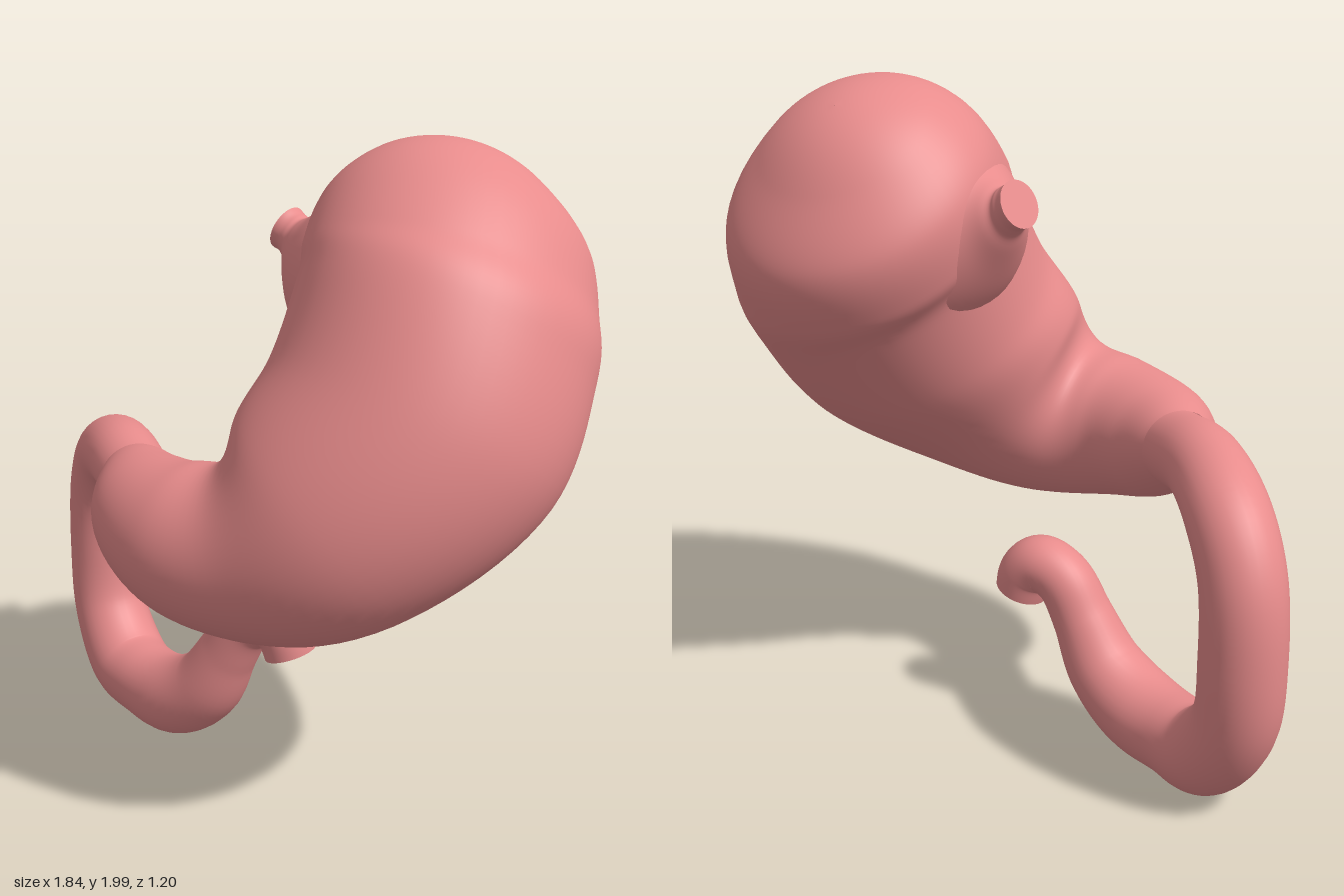
import * as THREE from 'three';

const material = new THREE.MeshStandardMaterial({ color: 0xe88c8c, side: THREE.DoubleSide });

const curve = points => new THREE.CatmullRomCurve3(points.map(p => new THREE.Vector3(...p)), false, 'catmullrom', 0.5);

// Smooth sweep through stations [x, y, z, radius across, radius along ref].
// Squared radii are interpolated so that a zero radius closes as a round dome.
// facing: optional direction of each station's ring; otherwise rings follow the path.
function sweep(name, stations, ref, rings, sides, { ease = 1, cap = false, facing } = {}) {
  const path = curve(stations.map(s => s.slice(0, 3)));
  const radii = curve(stations.map(s => [s[3] ** 2, (s[4] ?? s[3]) ** 2, 0]));
  const directions = facing && curve(facing);
  const positions = [], index = [];
  for (let i = 0; i <= rings; i++) {
    const u = (i / rings) ** ease;
    const c = path.getPoint(u), r = radii.getPoint(u);
    const t = directions ? directions.getPoint(u).normalize() : path.getTangent(u);
    const b = ref.clone().addScaledVector(t, -ref.dot(t)).normalize();
    const a = b.clone().cross(t);
    const ra = Math.sqrt(Math.max(r.x, 1e-6)), rb = Math.sqrt(Math.max(r.y, 1e-6));
    for (let j = 0; j < sides; j++) {
      const angle = j / sides * Math.PI * 2;
      const p = c.clone().addScaledVector(a, ra * Math.cos(angle)).addScaledVector(b, rb * Math.sin(angle));
      positions.push(p.x, p.y, p.z);
      if (i < rings) {
        const k = i * sides + j, l = i * sides + (j + 1) % sides;
        index.push(k, l, k + sides, l, l + sides, k + sides);
      }
    }
  }
  // Flat end with its own vertices, keeping a sharp rim
  if (cap) {
    const rim = positions.slice(-sides * 3), start = positions.length / 3;
    const end = path.getPoint(1);
    positions.push(...rim, end.x, end.y, end.z);
    for (let j = 0; j < sides; j++) index.push(start + sides, start + j, start + (j + 1) % sides);
  }
  const geometry = new THREE.BufferGeometry();
  geometry.setAttribute('position', new THREE.Float32BufferAttribute(positions, 3));
  geometry.setIndex(index);
  geometry.computeVertexNormals();
  const mesh = new THREE.Mesh(geometry, material);
  mesh.name = name;
  return mesh;
}

export function createModel() {
  const group = new THREE.Group();
  group.name = 'stomachAndDuodenum';
  const bodyNormal = new THREE.Vector3(0, 0.56, 0.83);
  const down = [0, -0.83, 0.56];

  // Stomach: domed fundus, wide body, curving forward and narrowing to the pylorus
  group.add(sweep('stomach', [
    [0.40, 1.93, -0.38, 0],
    [0.405, 1.847, -0.324, 0.265, 0.26],
    [0.42, 1.711, -0.275, 0.39, 0.395],
    [0.445, 1.581, -0.181, 0.425, 0.445],
    [0.48, 1.468, -0.08, 0.435, 0.455],
    [0.45, 1.213, 0.10, 0.44, 0.42],
    [0.275, 1.01, 0.275, 0.37, 0.34],
    [0.075, 0.895, 0.335, 0.268, 0.26],
    [-0.13, 0.89, 0.33, 0.225, 0.215],
    [-0.31, 0.908, 0.235, 0.18, 0.178],
    [-0.43, 0.945, 0.11, 0.112, 0.112],
  ], bodyNormal, 110, 60, {
    ease: 1.4,
    facing: [
      down, down, down, down,
      [-0.09, -0.83, 0.56], [-0.24, -0.81, 0.54], [-0.63, -0.645, 0.435], [-0.94, -0.28, 0.19],
      [-0.98, 0, -0.2], [-0.82, 0.05, -0.55], [-0.68, 0.02, -0.73],
    ],
  }));

  // Cardia: flares out of the fundus and ends in a short cut gullet
  group.add(sweep('cardia', [
    [0.28, 1.56, -0.15, 0.345],
    [0.12, 1.59, -0.165, 0.245],
    [0.02, 1.615, -0.185, 0.15],
    [-0.04, 1.645, -0.215, 0.085],
    [-0.07, 1.668, -0.232, 0.066],
    [-0.10, 1.685, -0.24, 0.068],
  ], bodyNormal, 40, 40, {
    cap: true,
    facing: [[-1, 0.1, -0.1], [-0.98, 0.15, -0.12], [-0.96, 0.2, -0.15], [-0.93, 0.28, -0.18], [-0.9, 0.36, -0.2], [-0.9, 0.4, -0.2]],
  }));

  // Duodenum: C-shaped loop from the pylorus, ending in a downturned hook
  group.add(sweep('duodenum', [
    [-0.42, 0.94, 0.12, 0.113],
    [-0.57, 0.955, -0.02, 0.115],
    [-0.71, 0.89, -0.17, 0.12],
    [-0.79, 0.74, -0.24, 0.12],
    [-0.805, 0.52, -0.25, 0.122],
    [-0.78, 0.31, -0.225, 0.122],
    [-0.67, 0.155, -0.16, 0.13],
    [-0.54, 0.13, -0.09, 0.124],
    [-0.39, 0.145, -0.03, 0.13],
    [-0.26, 0.23, 0.00, 0.118],
    [-0.175, 0.37, 0.01, 0.096],
    [-0.11, 0.48, 0.01, 0.09],
    [-0.03, 0.52, 0.01, 0.09],
    [0.025, 0.485, 0.01, 0.088],
    [0.048, 0.42, 0.01, 0.082],
  ], new THREE.Vector3(0.5, 0, -0.85), 120, 32, { cap: true }));

  return group;
}
